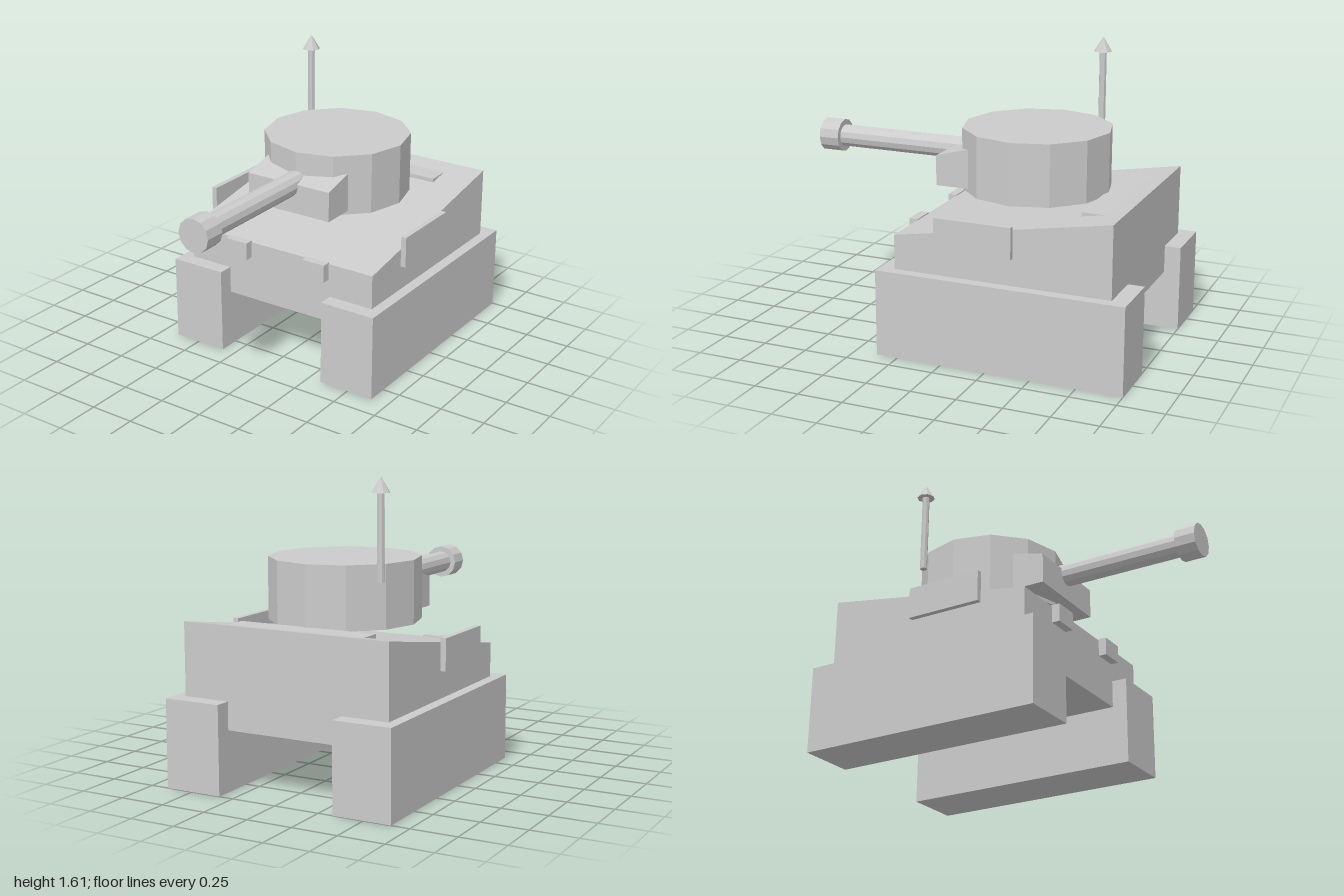
import * as THREE from 'three';

export function createModel() {
  const model = new THREE.Group();
  const material = new THREE.MeshStandardMaterial({ color: 0xcccccc, flatShading: true });

  function add(name, geometry, x = 0, y = 0, z = 0) {
    const mesh = new THREE.Mesh(geometry, material);
    mesh.name = name;
    mesh.position.set(x, y, z);
    model.add(mesh);
    return mesh;
  }

  // Box given by its lower and upper limits on each axis
  function box(name, [x0, x1], [y0, y1], [z0, z1]) {
    return add(name, new THREE.BoxGeometry(x1 - x0, y1 - y0, z1 - z0),
      (x0 + x1) / 2, (y0 + y1) / 2, (z0 + z1) / 2);
  }

  // Side profile of [z, y] points, extruded across x and centred
  function prism(name, profile, width) {
    const shape = new THREE.Shape(profile.map(([z, y]) => new THREE.Vector2(z, y)));
    const geometry = new THREE.ExtrudeGeometry(shape, { depth: width, bevelEnabled: false });
    geometry.rotateY(-Math.PI / 2).translate(width / 2, 0, 0);
    return add(name, geometry);
  }

  // Faceted cylinder lying along z
  function tubeZ(name, radius, z0, z1, y) {
    const geometry = new THREE.CylinderGeometry(radius, radius, z1 - z0, 12);
    return add(name, geometry.rotateX(Math.PI / 2), 0, y, (z0 + z1) / 2);
  }

  // Hull with a deck rising to the rear, and the raised engine cover
  prism('hull', [[-0.91, 0.325], [0.285, 0.325], [0.285, 0.663], [-0.91, 0.866]], 1.18);
  box('engineCover', [-0.395, 0.395], [0.78, 0.848], [-0.82, -0.675]);

  // Mirrored tracks, side plates and headlights
  for (const [side, s] of [['left', 1], ['right', -1]]) {
    const span = (a, b) => (s > 0 ? [a, b] : [-b, -a]);
    box(side + 'Track', span(0.33, 0.65), [0, 0.475], [-1, 0.37]);
    box(side + 'SidePlate', span(0.61, 0.64), [0.63, 0.8], [-0.39, 0.035]);
    box(side + 'Headlight', span(0.182, 0.32), [0.572, 0.67], [0.28, 0.33]);
  }

  // Turret with sloped gun mantlet
  add('turret', new THREE.CylinderGeometry(0.405, 0.405, 0.335, 12), 0, 1.0025, -0.283);
  prism('mantlet', [[0.01, 0.855], [0.195, 0.855], [0.195, 1.02], [0.01, 1.07]], 0.52);

  // Gun
  tubeZ('barrel', 0.062, 0, 0.9, 1.003);
  tubeZ('muzzle', 0.092, 0.885, 1, 1.003);

  // Antenna
  add('antennaRod', new THREE.CylinderGeometry(0.02, 0.02, 0.46, 8), -0.34, 1.31, -0.525);
  add('antennaTip', new THREE.ConeGeometry(0.05, 0.08, 8), -0.34, 1.57, -0.525);

  return model;
}
